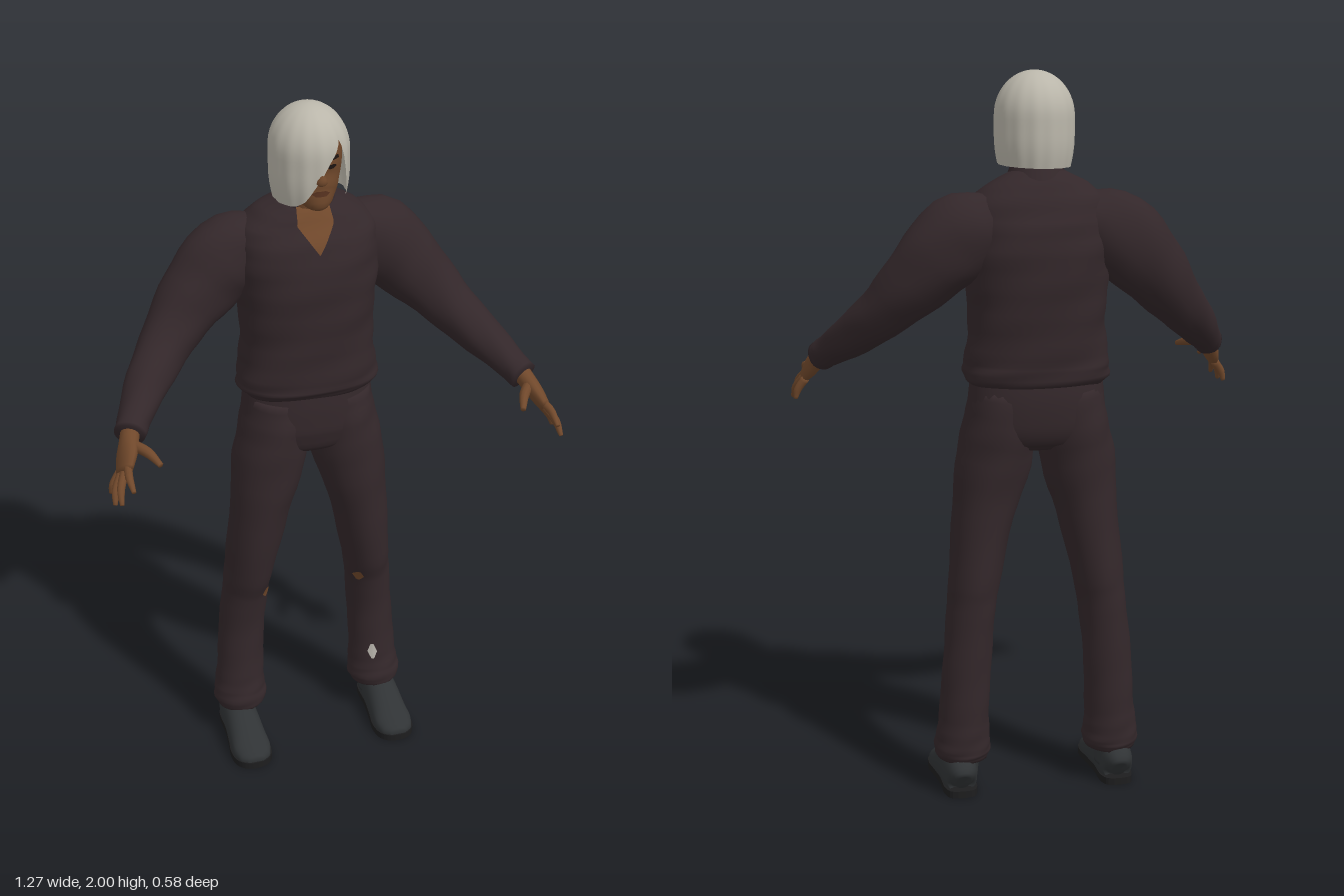
import * as THREE from 'three';

const mat = (name, color) => {
  const m = new THREE.MeshStandardMaterial({ color, side: THREE.DoubleSide });
  m.name = name;
  return m;
};

// Surface from rows x cols of points; optionally wrapped around and capped
function grid(rows, cols, fn, wrap = true, caps = false) {
  const pos = [], idx = [];
  for (let i = 0; i < rows; i++) for (let j = 0; j < cols; j++) pos.push(...fn(i, j).toArray());
  for (let i = 0; i < rows - 1; i++) for (let j = 0; j < (wrap ? cols : cols - 1); j++) {
    const k = (j + 1) % cols, a = i * cols, c = a + cols;
    idx.push(a + j, c + j, a + k, a + k, c + j, c + k);
  }
  if (caps) for (const row of [0, rows - 1]) {
    const centre = new THREE.Vector3(), n = pos.length / 3;
    for (let j = 0; j < cols; j++) centre.add(fn(row, j));
    pos.push(...centre.divideScalar(cols).toArray());
    for (let j = 0; j < cols; j++) {
      const a = row * cols + j, b = row * cols + (j + 1) % cols;
      idx.push(n, row ? b : a, row ? a : b);
    }
  }
  const g = new THREE.BufferGeometry();
  g.setAttribute('position', new THREE.Float32BufferAttribute(pos, 3));
  g.setIndex(idx);
  g.computeVertexNormals();
  return g;
}

// Smooth loft through sections [x, y, z, radiusA, radiusB]
function loft(sections, { cols = 24, steps = 4, ref = [0, 0, 1], power = 1, floor = -1, fold = 0 } = {}) {
  const path = new THREE.CatmullRomCurve3(sections.map(s => new THREE.Vector3(s[0], s[1], s[2])));
  const size = new THREE.CatmullRomCurve3(sections.map(s => new THREE.Vector3(s[3], s[4], 0)));
  const rows = (sections.length - 1) * steps + 1, up = new THREE.Vector3(...ref);
  const bend = (v) => Math.sign(v) * Math.abs(v) ** power;
  return grid(rows, cols, (i, j) => {
    const t = i / (rows - 1), th = j / cols * Math.PI * 2;
    const T = path.getTangent(t), u = T.clone().cross(up).normalize(), w = u.clone().cross(T);
    const s = size.getPoint(t), k = 1 + fold * Math.sin(i * 1.3 + th * 3) * Math.sin(i * 0.45 - th * 2);
    const p = path.getPoint(t).addScaledVector(u, bend(Math.cos(th)) * s.x * k)
      .addScaledVector(w, bend(Math.sin(th)) * s.y * k);
    p.y = Math.max(p.y, floor);
    return p;
  }, true, true);
}

// Thin patch laid over the front of a mesh; outline rows are [y, xFrom, xTo]
function drape(target, outline, lift = 0.005) {
  const ray = new THREE.Raycaster(), n = 7, sub = 5;
  const rows = (outline.length - 1) * sub + 1;
  return grid(rows, n, (i, j) => {
    const k = Math.min(Math.floor(i / sub), outline.length - 2), f = i / sub - k;
    const [y, a, b] = outline[k].map((v, q) => THREE.MathUtils.lerp(v, outline[k + 1][q], f));
    const x = a + (b - a) * j / (n - 1);
    ray.set(new THREE.Vector3(x, y, 1), new THREE.Vector3(0, 0, -1));
    const hit = ray.intersectObject(target)[0];
    return new THREE.Vector3(x, y, (hit ? hit.point.z : -0.08) + lift);
  }, false);
}

export function createModel() {
  const model = new THREE.Group();
  const cloth = mat('dark cloth', 0x33272a), skin = mat('brown skin', 0x70482b);
  const hairMat = mat('silver hair', 0xbab6aa), leather = mat('shoe leather', 0x303335);
  const soleMat = mat('shoe sole', 0x1d1d1e), dark = mat('eye dark', 0x1e1512);
  const lips = mat('lips', 0x57321f), sock = mat('sock', 0xb8b4ac);
  const add = (name, geometry, material, parent = model) => {
    const m = new THREE.Mesh(geometry, material);
    m.name = name;
    parent.add(m);
    return m;
  };

  // Shirt with a bloused hem, and trouser seat
  const shirt = add('shirt', loft([
    [0, 1.165, -0.125, 0.18, 0.115], [0, 1.19, -0.126, 0.202, 0.133], [0, 1.23, -0.126, 0.198, 0.135],
    [0, 1.32, -0.13, 0.186, 0.14], [0, 1.42, -0.132, 0.19, 0.148], [0, 1.52, -0.134, 0.198, 0.152],
    [0, 1.6, -0.135, 0.2, 0.14], [0, 1.66, -0.135, 0.185, 0.115], [0, 1.705, -0.13, 0.135, 0.085],
    [0, 1.735, -0.125, 0.075, 0.06]], { cols: 40, power: 0.85, fold: 0.018 }), cloth);
  add('trouserSeat', loft([[0, 1.21, -0.125, 0.178, 0.115], [0, 1.13, -0.127, 0.187, 0.124],
    [0, 1.06, -0.124, 0.193, 0.122], [0, 1.01, -0.12, 0.17, 0.105], [0, 0.985, -0.12, 0.08, 0.07]]
    .reverse(), { cols: 36, power: 0.88 }), cloth);

  // Neck, open neckline and collar
  add('neck', loft([[0, 1.64, -0.12, 0.065, 0.06], [0, 1.72, -0.115, 0.058, 0.058],
    [0, 1.82, -0.1, 0.056, 0.06]]), skin);
  add('neckline', drape(shirt, [[1.728, -0.055, 0.055], [1.68, -0.05, 0.05], [1.61, -0.001, 0.001]], 0.006), skin);
  const collar = new THREE.CylinderGeometry(0.068, 0.09, 0.06, 32, 2, true, 0.65, Math.PI * 2 - 1.3);
  add('collarBand', collar.rotateX(0.15).translate(0, 1.727, -0.125), cloth);
  for (const s of [-1, 1]) {
    const rows = [[1.73, 0.045, 0.07], [1.69, 0.05, 0.105], [1.655, 0.062, 0.09], [1.64, 0.073, 0.076]];
    add('collarFlap', drape(shirt, rows.map(([y, a, b]) => s > 0 ? [y, a, b] : [y, -b, -a]), 0.0095), cloth);
  }

  // Head and face
  const head = add('head', loft([[0, 1.735, -0.035, 0.022, 0.03], [0, 1.75, -0.035, 0.043, 0.048],
    [0, 1.78, -0.05, 0.062, 0.069], [0, 1.82, -0.07, 0.075, 0.086], [0, 1.87, -0.083, 0.082, 0.096],
    [0, 1.92, -0.095, 0.082, 0.092], [0, 1.96, -0.1, 0.062, 0.072], [0, 1.985, -0.1, 0.03, 0.035]],
    { cols: 32 }), skin);
  add('nose', loft([[0, 1.813, 0.008, 0.008, 0.005], [0, 1.822, 0.013, 0.017, 0.016],
    [0, 1.84, 0.012, 0.01, 0.012], [0, 1.875, 0.008, 0.007, 0.006]], { cols: 12 }), skin);
  for (const s of [-1, 1]) {
    const band = (rows) => rows.map(([y, a, b]) => s > 0 ? [y, a, b] : [y, -b, -a]);
    add('eye', drape(head, band([[1.864, 0.024, 0.038], [1.858, 0.016, 0.048], [1.852, 0.024, 0.038]]), 0.002), dark);
    add('eyebrow', drape(head, band([[1.886, 0.028, 0.052], [1.876, 0.012, 0.056]]), 0.003), dark);
  }
  add('mouth', drape(head, [[1.795, -0.012, 0.012], [1.788, -0.026, 0.026], [1.78, -0.014, 0.014]], 0.004), lips);

  // Bob haircut: the lower edge varies around the head, with a side-swept fringe
  const edge = [[-180, 1.748], [-60, 1.745], [-38, 1.75], [-25, 1.765], [-15, 1.79], [0, 1.835], [18, 1.885],
    [32, 1.925], [38, 1.9], [48, 1.8], [60, 1.755], [180, 1.748]];
  const edgeY = (deg) => {
    const k = Math.max(1, edge.findIndex(e => e[0] >= deg)), [a, b] = [edge[k - 1], edge[k]];
    return THREE.MathUtils.mapLinear(deg, a[0], b[0], a[1], b[1]);
  };
  add('hair', grid(22, 90, (i, j) => {
    const deg = -180 + j * 4, a = deg * Math.PI / 180, t = i / 21;
    const y = 2 - (2 - edgeY(deg)) * (1 - Math.cos(t * Math.PI / 2));
    const low = Math.max(0, 1.83 - y) / 0.085;
    const r = y > 1.88 ? Math.sqrt(Math.max(0, 1 - ((y - 1.88) / 0.12) ** 2)) : 1 - 0.1 * low * low;
    const strand = r * (1 + 0.012 * Math.cos(a * 15) * t);
    return new THREE.Vector3(Math.sin(a) * 0.107 * strand, y, -0.1 + Math.cos(a) * 0.122 * strand);
  }), hairMat);

  // Limbs, written for the +x side and mirrored through x
  for (const s of [1, -1]) {
    const side = s > 0 ? 'left' : 'right';
    const limb = (name, sections, material, opts) =>
      add(side + name, loft(sections.map(([x, ...r]) => [x * s, ...r]), opts), material);

    limb('Sleeve', [[0.1, 1.615, -0.155, 0.075, 0.075], [0.215, 1.565, -0.16, 0.118, 0.095],
      [0.31, 1.475, -0.145, 0.1, 0.088], [0.4, 1.375, -0.098, 0.075, 0.072], [0.48, 1.295, -0.015, 0.06, 0.062],
      [0.54, 1.235, 0.075, 0.044, 0.046], [0.56, 1.215, 0.11, 0.042, 0.043]], cloth, { fold: 0.03 });
    limb('Palm', [[0.55, 1.232, 0.09, 0.026, 0.028], [0.563, 1.21, 0.12, 0.025, 0.031],
      [0.58, 1.18, 0.16, 0.022, 0.044], [0.595, 1.152, 0.193, 0.015, 0.038]], skin, { cols: 16 });
    const fingers = {
      Thumb: [[0.565, 1.205, 0.14], [0.53, 1.2, 0.19], [0.507, 1.185, 0.24]],
      IndexFinger: [[0.584, 1.172, 0.19], [0.592, 1.164, 0.24], [0.591, 1.145, 0.288]],
      MiddleFinger: [[0.592, 1.157, 0.188], [0.613, 1.125, 0.228], [0.618, 1.093, 0.257]],
      RingFinger: [[0.6, 1.145, 0.178], [0.623, 1.11, 0.206], [0.63, 1.078, 0.226]],
      LittleFinger: [[0.6, 1.14, 0.162], [0.622, 1.108, 0.168], [0.629, 1.082, 0.168]],
    };
    for (const [name, p] of Object.entries(fingers)) {
      const r = name === 'Thumb' ? 0.014 : 0.011;
      limb(name, p.map((q, i) => [...q, r * [1.1, 1, 0.55][i], r * [1.1, 1, 0.55][i]]), skin, { cols: 10 });
    }

    // Trouser leg, listed from the cuff upwards
    const leg = limb('TrouserLeg', [[0.214, 0.1, -0.133, 0.07, 0.073], [0.214, 0.125, -0.134, 0.08, 0.08],
      [0.213, 0.16, -0.138, 0.076, 0.077], [0.21, 0.22, -0.142, 0.07, 0.073], [0.203, 0.35, -0.146, 0.068, 0.071],
      [0.19, 0.5, -0.14, 0.067, 0.08], [0.178, 0.6, -0.128, 0.07, 0.097], [0.147, 0.8, -0.114, 0.085, 0.103],
      [0.118, 0.95, -0.115, 0.104, 0.113], [0.1, 1.06, -0.122, 0.098, 0.12], [0.09, 1.15, -0.125, 0.09, 0.11]],
      cloth, { fold: 0.025 });
    const spot = (name, x, y, w, h, material) => add(name, drape(leg,
      [[y + h, x - w / 3, x + w / 4], [y, x - w, x + w], [y - h, x - w / 4, x + w / 3]], 0.004), material);
    spot('kneeTear', s * 0.143, 0.515, 0.014, 0.018, skin);
    if (s > 0) spot('shinTear', 0.19, 0.23, 0.014, 0.025, sock);

    // Shoe: flat-bottomed upper on a shaped sole
    limb('Shoe', [[0.225, 0.045, -0.208, 0.02, 0.03], [0.225, 0.055, -0.195, 0.041, 0.052],
      [0.225, 0.055, -0.15, 0.05, 0.065], [0.225, 0.05, -0.08, 0.052, 0.062], [0.225, 0.035, -0.02, 0.055, 0.05],
      [0.225, 0.025, 0.03, 0.058, 0.038], [0.225, 0.022, 0.07, 0.046, 0.025], [0.225, 0.022, 0.087, 0.022, 0.012]],
      leather, { ref: [0, 1, 0], floor: 0.012, power: 0.85 });
    limb('ShoeTop', [[0.22, 0.05, -0.135, 0.048, 0.068], [0.215, 0.13, -0.14, 0.05, 0.055]], leather);
    const half = [[0.03, -0.207], [0.045, -0.18], [0.047, -0.1], [0.055, -0.03], [0.061, 0.02], [0.052, 0.065], [0.025, 0.088]];
    const outline = [...half, ...half.map(([x, z]) => [-x, z]).reverse()].map(p => new THREE.Vector2(...p));
    const curve = new THREE.CatmullRomCurve3(outline.map(p => new THREE.Vector3(p.x, p.y, 0)), true);
    const sole = new THREE.ExtrudeGeometry(new THREE.Shape(curve.getPoints(48).slice(0, -1)
      .map(p => new THREE.Vector2(p.x, p.y))), { depth: 0.02, bevelEnabled: false });
    add(side + 'Sole', sole.rotateX(Math.PI / 2).translate(0.225 * s, 0.02, 0), soleMat);
  }
  return model;
}
